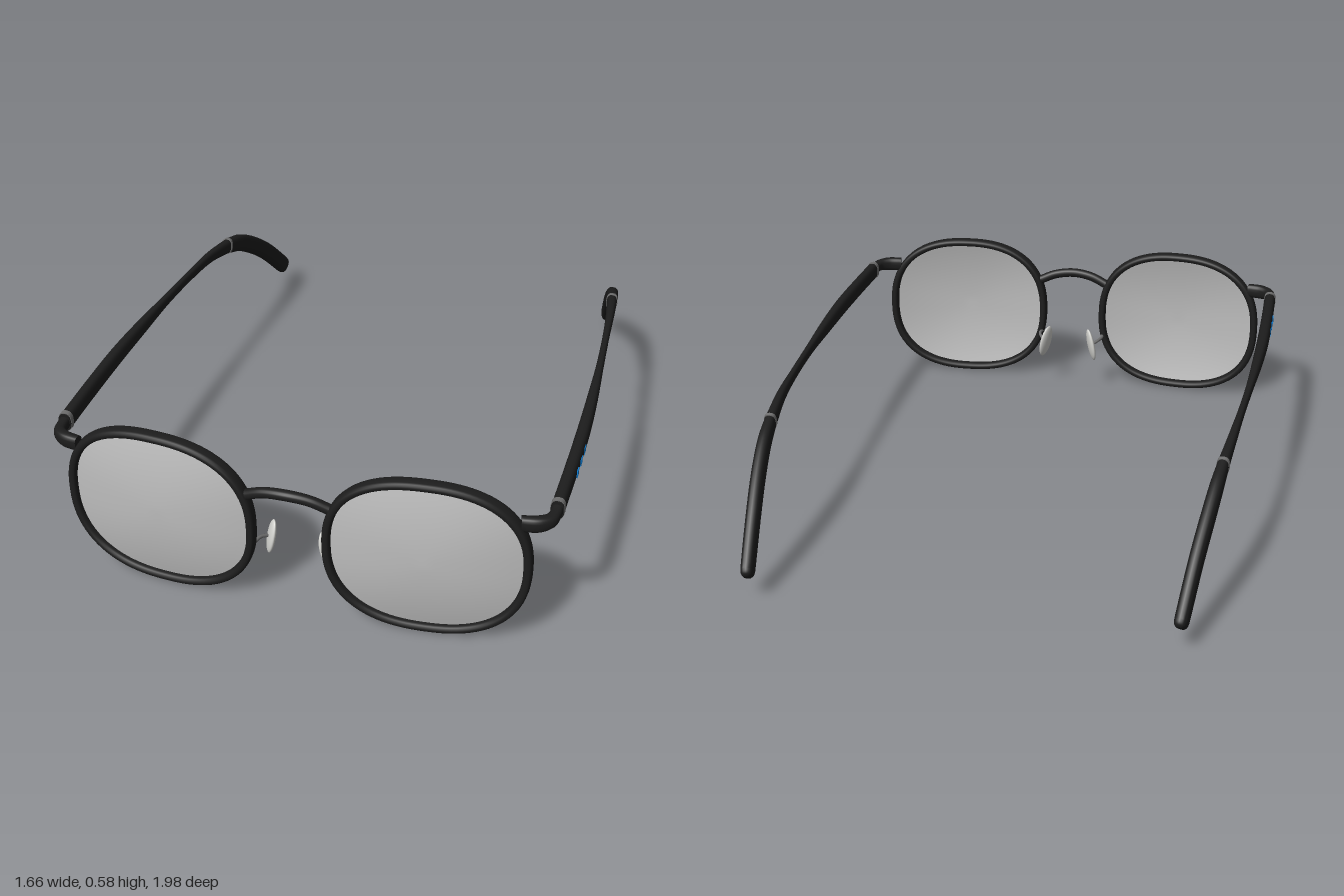
import * as THREE from 'three';

const mat = (name, color, side = THREE.FrontSide) => {
  const m = new THREE.MeshStandardMaterial({ color, side });
  m.name = name;
  return m;
};

const V = (x, y, z) => new THREE.Vector3(x, y, z);
const spow = (v, e) => Math.sign(v) * Math.abs(v) ** e;

// Skins a list of rings of points; either closes the loop or caps both ends.
function loft(rings, closed) {
  const n = rings.length, m = rings[0].length;
  const pos = rings.flat().flatMap(p => [p.x, p.y, p.z]);
  const idx = [];
  for (let i = 0; i < (closed ? n : n - 1); i++) {
    for (let j = 0; j < m; j++) {
      const k = (j + 1) % m, i2 = (i + 1) % n;
      const a = i * m + j, b = i * m + k, c = i2 * m + k, d = i2 * m + j;
      idx.push(a, b, c, a, c, d);
    }
  }
  if (!closed) {
    for (const end of [0, n - 1]) {
      const base = pos.length / 3;
      const c = rings[end].reduce((s, p) => s.add(p), V(0, 0, 0)).divideScalar(m);
      // separate cap corners keep the end crisp
      for (const p of [...rings[end], c]) pos.push(p.x, p.y, p.z);
      for (let j = 0; j < m; j++) {
        const k = (j + 1) % m;
        if (end) idx.push(base + m, base + j, base + k);
        else idx.push(base + m, base + k, base + j);
      }
    }
  }
  const g = new THREE.BufferGeometry();
  g.setAttribute('position', new THREE.Float32BufferAttribute(pos, 3));
  g.setIndex(idx);
  g.computeVertexNormals();
  return g;
}

// Rounded cross-section around point p, with side and up axes.
function section(p, S, U, hw, hh, power, m = 20) {
  return Array.from({ length: m }, (_, j) => {
    const a = j / m * Math.PI * 2;
    return p.clone()
      .addScaledVector(S, hw * spow(Math.cos(a), 2 / power))
      .addScaledVector(U, hh * spow(Math.sin(a), 2 / power));
  });
}

// Sweep through keys of [x, y, z, halfWidth, halfHeight].
function sweep(keys, steps, power = 2.6) {
  const path = new THREE.CatmullRomCurve3(keys.map(k => V(k[0], k[1], k[2])));
  const size = new THREE.CatmullRomCurve3(keys.map(k => V(k[3], k[4], 0)), false, 'catmullrom');
  const rings = [];
  for (let i = 0; i <= steps; i++) {
    const t = i / steps, T = path.getTangent(t), s = size.getPoint(t);
    const S = V(0, 1, 0).cross(T).normalize();
    rings.push(section(path.getPoint(t), S, T.clone().cross(S), s.x, s.y, power));
  }
  return loft(rings, false);
}

// Reflects a geometry to the other side and restores its winding.
function mirrored(g) {
  const r = g.clone();
  const p = r.attributes.position, nrm = r.attributes.normal, ix = r.index;
  for (let i = 0; i < p.count; i++) {
    p.setX(i, -p.getX(i));
    nrm.setX(i, -nrm.getX(i));
  }
  for (let i = 0; i < ix.count; i += 3) {
    const b = ix.getX(i + 1);
    ix.setX(i + 1, ix.getX(i + 2));
    ix.setX(i + 2, b);
  }
  return r;
}

// Lens outline on the wrapped front; f scales from the centre, f = 1 at the rim.
const CX = 0.434, CY = 0.288, RX = 0.311, RY = 0.274, POW = 2.4;
const faceZ = x => 0.958 - 0.09 * x * x;
function outline(a, f = 1) {
  const c = Math.cos(a), s = Math.sin(a);
  const r = f * (Math.abs(c / RX) ** POW + Math.abs(s / RY) ** POW) ** (-1 / POW);
  const x = CX + r * c;
  return V(x, CY + r * s, faceZ(x));
}

function rimGeometry() {
  const rings = [], N = 96;
  for (let i = 0; i < N; i++) {
    const a = i / N * Math.PI * 2;
    const T = outline(a + 0.01).sub(outline(a - 0.01));
    const S = T.cross(V(0, 0, 1)).normalize();
    rings.push(section(outline(a), S, V(0, 0, -1), 0.014, 0.024, 2.8, 16));
  }
  return loft(rings, true);
}

// Domed sheet filling the rim.
function lensGeometry() {
  const N = 64, R = 8, pos = [], idx = [];
  for (let r = 0; r <= R; r++) {
    for (let i = 0; i < N; i++) {
      const f = r / R, p = outline(i / N * Math.PI * 2, f);
      pos.push(p.x, p.y, p.z + 0.034 * (1 - f * f));
      if (r === R) continue;
      const k = (i + 1) % N, a = r * N + i, b = r * N + k;
      if (r) idx.push(a, b + N, b);
      idx.push(a, a + N, b + N);
    }
  }
  const g = new THREE.BufferGeometry();
  g.setAttribute('position', new THREE.Float32BufferAttribute(pos, 3));
  g.setIndex(idx);
  g.computeVertexNormals();
  // the coincident centre points all face forward
  for (let i = 0; i < N; i++) g.attributes.normal.setXYZ(i, 0, 0, 1);
  return g;
}

export function createModel() {
  const model = new THREE.Group();
  model.name = 'glasses';
  const black = mat('frame black', 0x1d1d1d);
  const lensGrey = mat('lens grey', 0xbebebe, THREE.DoubleSide);
  const metal = mat('hinge metal', 0x6e6e6e);
  const padClear = mat('pad pale grey', 0xd4d4d0);
  const blue = mat('marker blue', 0x0a80dc);

  const add = (name, geometry, material) => {
    const mesh = new THREE.Mesh(geometry, material);
    mesh.name = name;
    model.add(mesh);
  };
  const addPair = (name, geometry, material) => {
    add(name + 'Left', geometry, material);
    add(name + 'Right', mirrored(geometry), material);
  };

  // front
  addPair('rim', rimGeometry(), black);
  addPair('lens', lensGeometry(), lensGrey);
  add('bridge', sweep([
    [-0.135, 0.418, 0.957, 0.017, 0.017], [-0.075, 0.443, 0.965, 0.017, 0.017],
    [0, 0.453, 0.971, 0.018, 0.017],
    [0.075, 0.443, 0.965, 0.017, 0.017], [0.135, 0.418, 0.957, 0.017, 0.017]], 32, 2.2), black);
  addPair('endPiece', sweep([
    [0.715, 0.458, 0.908, 0.018, 0.026], [0.765, 0.459, 0.897, 0.02, 0.026],
    [0.795, 0.46, 0.873, 0.02, 0.022], [0.804, 0.46, 0.84, 0.018, 0.02],
    [0.805, 0.46, 0.80, 0.018, 0.024]], 24), black);

  // arms, slim in the middle
  addPair('arm', sweep([
    [0.805, 0.46, 0.82, 0.021, 0.031], [0.809, 0.46, 0.6, 0.021, 0.031],
    [0.81, 0.459, 0.4, 0.021, 0.03], [0.805, 0.456, 0.2, 0.018, 0.026],
    [0.796, 0.453, 0, 0.013, 0.019], [0.784, 0.447, -0.2, 0.012, 0.018],
    [0.772, 0.436, -0.37, 0.015, 0.021], [0.757, 0.408, -0.52, 0.019, 0.028]], 60), black);
  addPair('armTip', sweep([
    [0.757, 0.408, -0.52, 0.019, 0.029], [0.747, 0.376, -0.61, 0.022, 0.033],
    [0.733, 0.317, -0.71, 0.023, 0.035], [0.715, 0.232, -0.82, 0.023, 0.035],
    [0.693, 0.098, -0.957, 0.022, 0.034], [0.691, 0.086, -0.968, 0.019, 0.03],
    [0.69, 0.08, -0.973, 0.012, 0.021]], 42), black);

  // metal joints
  addPair('hingeRing', sweep([
    [0.805, 0.46, 0.815, 0.0225, 0.034], [0.805, 0.46, 0.798, 0.0225, 0.034]], 2), metal);
  addPair('tipRing', sweep([
    [0.758, 0.411, -0.512, 0.021, 0.031], [0.757, 0.408, -0.524, 0.021, 0.031]], 2), metal);

  // square markers on the outer faces
  [0.617, 0.555, 0.493].forEach((z, i) => {
    addPair('marker' + (i + 1), new THREE.BoxGeometry(0.006, 0.025, 0.025).translate(0.8295, 0.459, z), blue);
  });

  // nose pads and their wires
  const pad = new THREE.SphereGeometry(1, 24, 16).scale(0.012, 0.067, 0.033);
  pad.rotateY(-0.5).rotateZ(0.2).translate(0.094, 0.187, 0.862);
  addPair('nosePad', pad, padClear);
  const wire = new THREE.CatmullRomCurve3([
    V(0.122, 0.2, 0.95), V(0.129, 0.2, 0.92), V(0.119, 0.198, 0.885), V(0.099, 0.19, 0.862)]);
  addPair('padWire', new THREE.TubeGeometry(wire, 16, 0.006, 8), metal);

  return model;
}
